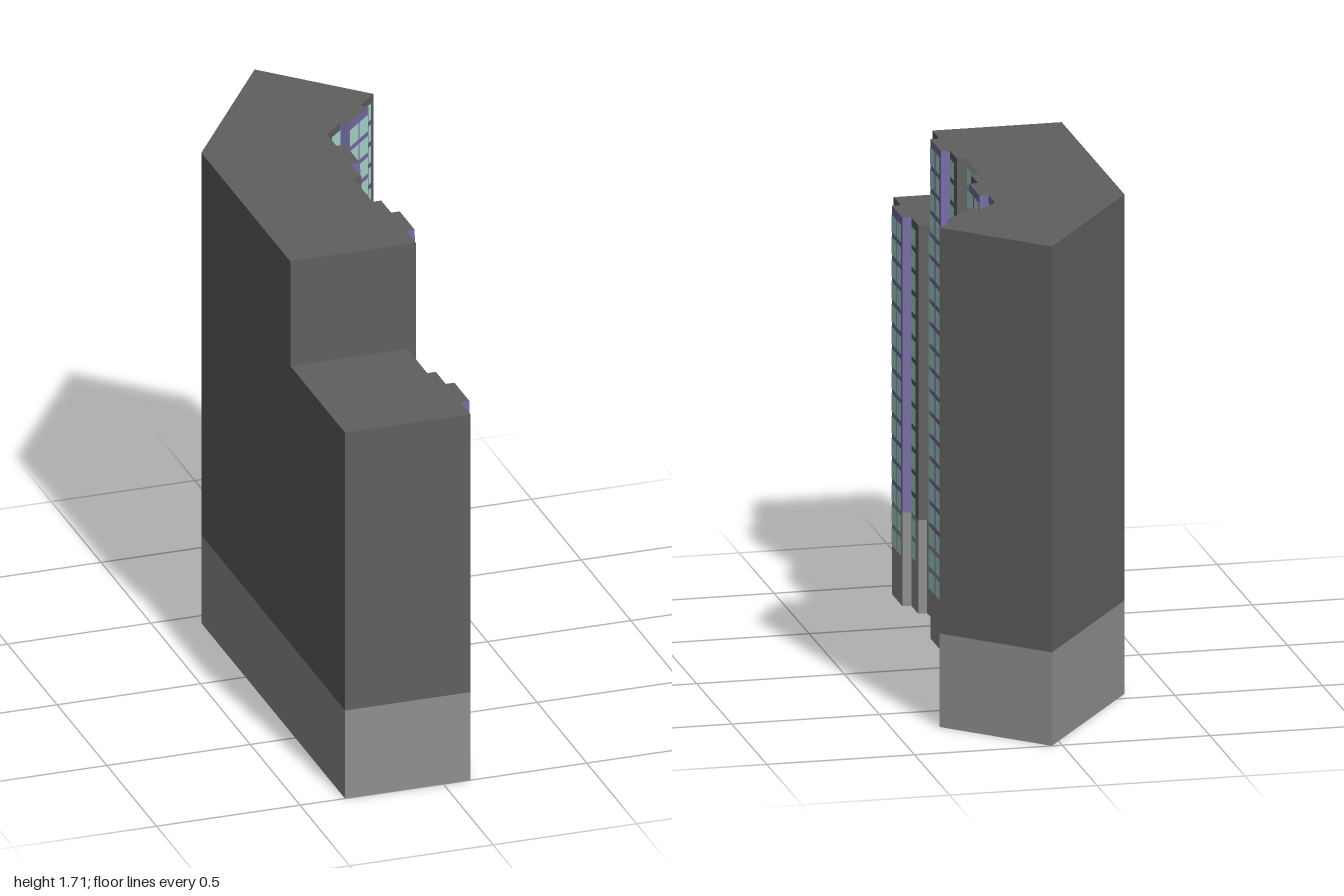
import * as THREE from 'three';
import { mergeGeometries } from 'three/addons/utils/BufferGeometryUtils.js';

const BASE = 0.32, LOW = 1.33, TALL = 1.71, SPLIT = 0.45;
const COLORS = { base: 0x909090, dark: 0x606060, purple: 0x776fa8, recess: 0xa8a8a8, window: 0xaedbd3 };
const S = Math.SQRT1_2;

// Plan corners [x, z, colour of the wall that starts here, window centres along it]
const bay = (z) => [
  [0.095, z + 0.175, 'dark', [0.056]],
  [0.095, z + 0.075, 'purple'],
  [0.125, z + 0.075, 'purple', [0.033, 0.108]],
  [0.125, z - 0.075, 'purple'],
  [0.095, z - 0.075, z < -0.2 ? 'purple' : 'dark', [0.035]],
];
const recess = (z) => [
  [0.095, z + 0.1, 'dark'],
  [0.065, z + 0.1, 'recess', [0.057, 0.132]],
  [0.065, z - 0.1, 'dark'],
];
// Angled wing: u runs along the facade, v steps out from it
const wing = (u, v) => [0.095 + (u + v) * S, -0.445 + (v - u) * S];

const PLAN = [
  ...bay(0.825), ...recess(0.55),
  ...bay(0.275), ...recess(0),
  ...bay(-0.275),
  [...wing(0, 0), 'dark', [0.066]],
  [...wing(0.1, 0), 'purple'],
  [...wing(0.1, 0.03), 'purple', [0.039, 0.111]],
  [...wing(0.25, 0.03), 'purple'],
  [...wing(0.25, 0), 'dark', [0.048]],
  [...wing(0.35, 0), 'dark'],
  [0.035, -1, 'dark'],
  [-0.343, -0.445, 'dark'],
  [-0.343, SPLIT, 'dark'],
  [-0.343, 1, 'dark'],
];

// Upright rectangle centred at (x, y, z), turned by angle
function panel(w, h, x, y, z, angle) {
  return new THREE.PlaneGeometry(w, h).rotateY(angle).translate(x, y, z);
}

function roof(points, y) {
  const shape = new THREE.Shape(points.map(([x, z]) => new THREE.Vector2(x, -z)));
  return new THREE.ShapeGeometry(shape).rotateX(-Math.PI / 2).translate(0, y, 0);
}

export function createModel() {
  const group = new THREE.Group();
  const parts = { base: [], dark: [], purple: [], recess: [], window: [] };

  // Walls: a plain base band, then a coloured upper panel
  PLAN.forEach(([ax, az, color, windows = []], i) => {
    const [bx, bz] = PLAN[(i + 1) % PLAN.length];
    const dx = bx - ax, dz = bz - az, len = Math.hypot(dx, dz);
    const angle = Math.atan2(-dz, dx);
    const mx = (ax + bx) / 2, mz = (az + bz) / 2;
    const low = mz > SPLIT + 0.001;
    const top = low ? LOW : TALL;
    parts.base.push(panel(len, BASE, mx, BASE / 2, mz, angle));
    parts[color].push(panel(len, top - BASE, mx, (top + BASE) / 2, mz, angle));

    // Window columns; the recesses reach one row lower
    for (const c of windows) {
      const x = ax + (dx / len) * c + Math.sin(angle) * 0.002;
      const z = az + (dz / len) * c + Math.cos(angle) * 0.002;
      for (let r = color === 'recess' ? -1 : 0; r < (low ? 15 : 20); r++) {
        parts.window.push(panel(0.062, 0.06, x, 0.2 + r * 0.0766, z, angle));
      }
    }
  });

  // Step between the two heights
  parts.dark.push(panel(0.408, TALL - LOW, -0.139, (TALL + LOW) / 2, SPLIT, 0));
  parts.dark.push(panel(0.03, TALL - BASE, 0.08, (TALL + BASE) / 2, SPLIT, 0));

  // Roofs, divided where the height changes
  const front = PLAN.filter(([, z], i) => z > SPLIT + 0.001);
  const back = PLAN.filter(([, z]) => z <= SPLIT + 0.001);
  const lowRoof = [...front.slice(0, -1), [0.065, SPLIT], [-0.343, SPLIT], front[front.length - 1]];
  parts.dark.push(roof(lowRoof, LOW));
  parts.dark.push(roof(back.filter(([x, z]) => !(x === 0.065 && z > 0.4)), TALL));

  const names = { base: 'baseBand', dark: 'wallsAndRoofs', purple: 'bayPanels', recess: 'recessPanels', window: 'windows' };
  for (const key of Object.keys(parts)) {
    const material = new THREE.MeshStandardMaterial({ color: COLORS[key], side: THREE.DoubleSide });
    const mesh = new THREE.Mesh(mergeGeometries(parts[key]), material);
    mesh.name = names[key];
    group.add(mesh);
  }
  return group;
}
